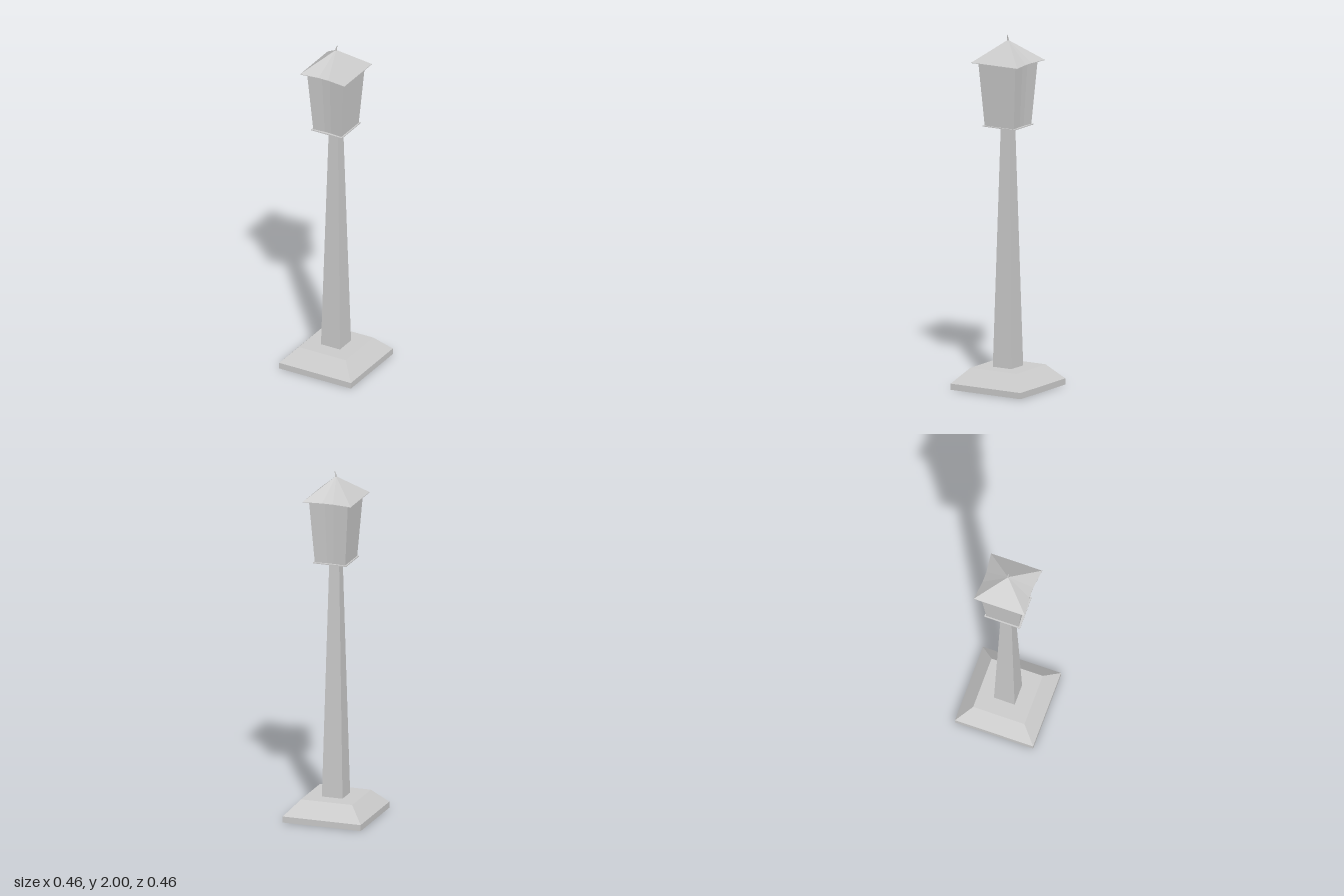
import * as THREE from 'three';

const material = new THREE.MeshStandardMaterial({ color: 0xcccccc, flatShading: true });

// Rectangular cross-section; pinch draws the middle of the front and back edges inward.
function ring({ y, hx, hz = hx, pinch = 0, cx = 0 }) {
  const m = hx * 0.22, zi = hz - pinch;
  const plan = [[hx, hz], [hx, -hz], [m, -zi], [-m, -zi], [-hx, -hz], [-hx, hz], [-m, zi], [m, zi]];
  return plan.map(([x, z]) => new THREE.Vector3(x + cx, y, z));
}

// Closed, flat-shaded solid through a stack of cross-sections, bottom to top.
function loft(name, levels) {
  const rings = levels.map(ring);
  const points = [];
  const n = rings[0].length;
  const centre = (i) => new THREE.Vector3(levels[i].cx ?? 0, levels[i].y, 0);
  const last = rings.length - 1;
  for (let i = 0; i < n; i++) {
    const j = (i + 1) % n;
    for (let k = 0; k < last; k++) {
      const a = rings[k], b = rings[k + 1];
      points.push(a[i], a[j], b[j], a[i], b[j], b[i]);
    }
    points.push(centre(0), rings[0][j], rings[0][i]);
    points.push(centre(last), rings[last][i], rings[last][j]);
  }
  const geometry = new THREE.BufferGeometry().setFromPoints(points);
  geometry.computeVertexNormals();
  const mesh = new THREE.Mesh(geometry, material);
  mesh.name = name;
  return mesh;
}

export function createModel() {
  const model = new THREE.Group();
  model.name = 'lampPost';
  model.add(
    // Plinth with sloping shoulders
    loft('base', [{ y: 0, hx: 0.23 }, { y: 0.035, hx: 0.23 }, { y: 0.12, hx: 0.151 }]),
    // Tapered square post
    loft('post', [{ y: 0.12, hx: 0.061 }, { y: 1.485, hx: 0.029 }]),
    // Thin plate under the lantern
    loft('lanternPlate', [{ y: 1.484, hx: 0.098, hz: 0.105 }, { y: 1.489, hx: 0.098, hz: 0.105 }]),
    // Lantern flaring upward, its front and back slightly hollow
    loft('lantern', [
      { y: 1.489, hx: 0.09, hz: 0.096, pinch: 0.006 },
      { y: 1.849, hx: 0.115, hz: 0.122, pinch: 0.009 },
    ]),
    // Overhanging pyramid roof
    loft('roof', [
      { y: 1.846, hx: 0.142, hz: 0.151, pinch: 0.013 },
      { y: 1.849, hx: 0.142, hz: 0.151, pinch: 0.013 },
      { y: 1.968, hx: 0.003 },
    ]),
    // Small bent spike
    loft('finial', [
      { y: 1.962, hx: 0.005 },
      { y: 1.982, hx: 0.003, cx: 0.002 },
      { y: 2, hx: 0.001, cx: 0.008 },
    ]),
  );
  return model;
}
